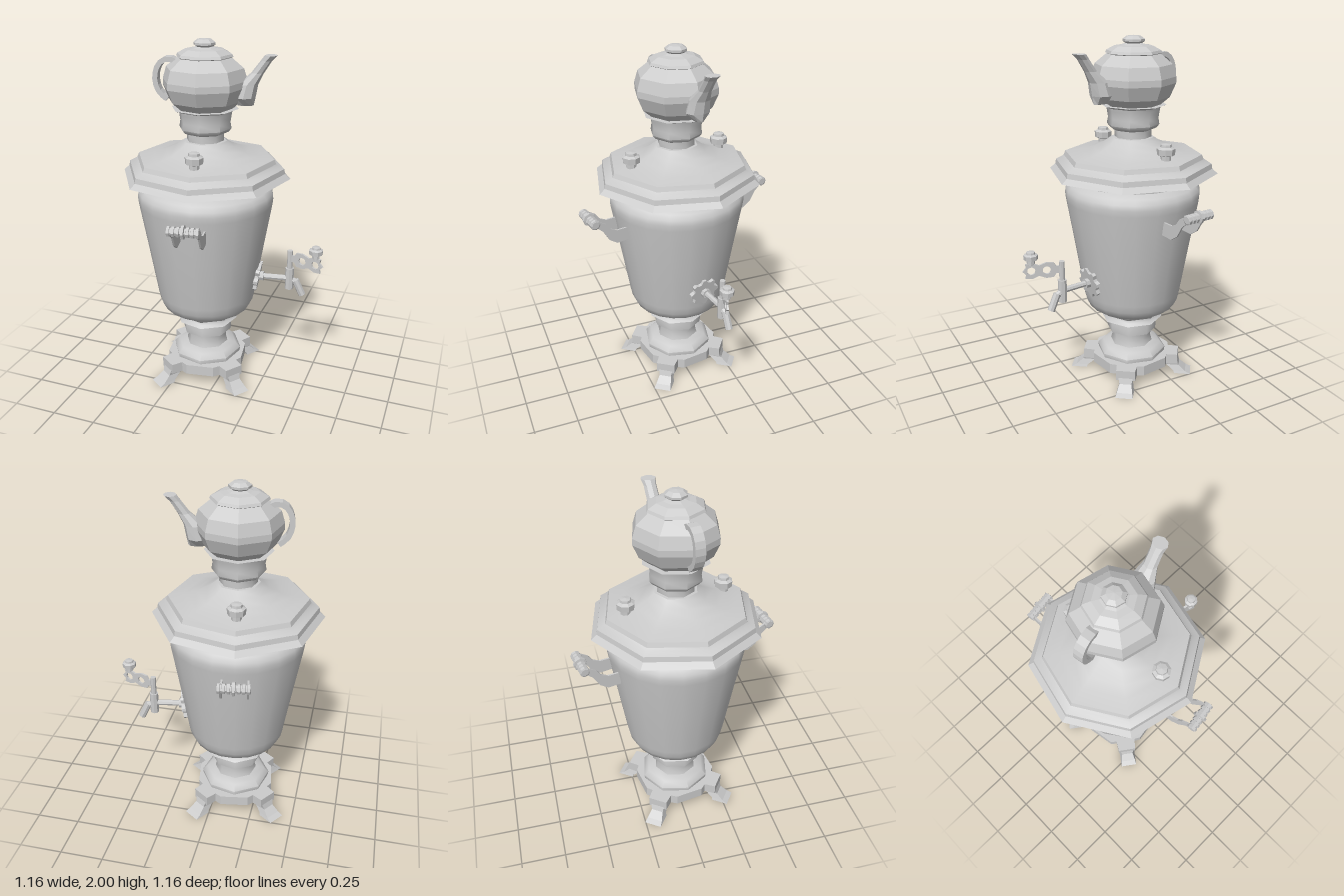
import * as THREE from 'three';
import { toCreasedNormals } from 'three/addons/utils/BufferGeometryUtils.js';

const smooth = new THREE.MeshStandardMaterial({ color: 0xcccccc, side: THREE.DoubleSide });
const flat = new THREE.MeshStandardMaterial({ color: 0xcccccc, flatShading: true, side: THREE.DoubleSide });

function add(parent, name, geometry, material = flat) {
  const mesh = new THREE.Mesh(geometry, material);
  mesh.name = name;
  parent.add(mesh);
  return mesh;
}

// Turned profile, [radius, height] from bottom to top
const turned = (profile, sides = 8) =>
  new THREE.LatheGeometry(profile.map(([r, y]) => new THREE.Vector2(r, y)), sides);

// Skin over a list of equal-length rings of Vector3, with both ends capped
function loft(rings) {
  const n = rings[0].length, last = (rings.length - 1) * n, index = [];
  for (let k = 0; k < rings.length - 1; k++) {
    for (let i = 0; i < n; i++) {
      const j = (i + 1) % n, a = k * n;
      index.push(a + i, a + j, a + n + i, a + j, a + n + j, a + n + i);
    }
  }
  for (let i = 1; i < n - 1; i++) index.push(0, i + 1, i, last, last + i, last + i + 1);
  const g = new THREE.BufferGeometry().setFromPoints(rings.flat());
  g.setIndex(index);
  const out = g.toNonIndexed();
  out.computeVertexNormals();
  return out;
}

// Horizontal oval section spanning x0..x1 with half width w
function oval(y, x0, x1, w, sides = 8) {
  return Array.from({ length: sides }, (_, i) => {
    const a = (i / sides) * Math.PI * 2;
    return new THREE.Vector3((x0 + x1) / 2 + Math.cos(a) * (x1 - x0) / 2, y, -Math.sin(a) * w);
  });
}

// Horizontal rectangular section
const slab = (y, x0, x1, w) =>
  [[x1, w], [x1, -w], [x0, -w], [x0, w]].map(([x, z]) => new THREE.Vector3(x, y, z));

const shapeOf = (points) => new THREE.Shape(points.map(([x, y]) => new THREE.Vector2(x, y)));
const extrude = (shape, depth) =>
  new THREE.ExtrudeGeometry(shape, { depth, bevelEnabled: false, curveSegments: 5 }).translate(0, 0, -depth / 2);

// Round bar between two points
function rod(parent, name, from, to, r, sides = 8) {
  const a = new THREE.Vector3(...from), b = new THREE.Vector3(...to), d = b.clone().sub(a);
  const mesh = add(parent, name, new THREE.CylinderGeometry(r, r, d.length(), sides));
  mesh.position.copy(a).add(b).multiplyScalar(0.5);
  mesh.quaternion.setFromUnitVectors(new THREE.Vector3(0, 1, 0), d.normalize());
  return mesh;
}

const knobProfile = [[0.028, -0.05], [0.028, -0.025], [0.048, -0.018], [0.05, 0.015], [0.032, 0.024], [0.03, 0.038], [0, 0.042]];

function buildBase(g) {
  // Plate with four lobes, one over each foot
  const outline = [];
  for (let i = 0; i < 4; i++) {
    const a = Math.PI / 4 + i * Math.PI / 2, c = Math.cos(a), s = Math.sin(a);
    for (const [r, t] of [[0.215, -0.1], [0.22, -0.06], [0.285, -0.055], [0.285, 0.055], [0.22, 0.06], [0.215, 0.1]])
      outline.push([c * r - s * t, s * r + c * t]);
  }
  add(g, 'basePlate', extrude(shapeOf(outline), 0.06).rotateX(-Math.PI / 2).translate(0, 0.1, 0));
  for (let i = 0; i < 4; i++) {
    const foot = add(g, 'foot', loft([
      slab(0, 0.27, 0.365, 0.05), slab(0.015, 0.265, 0.335, 0.045),
      slab(0.05, 0.22, 0.295, 0.035), slab(0.1, 0.17, 0.28, 0.045)]));
    foot.rotation.y = Math.PI / 4 + i * Math.PI / 2;
  }
  add(g, 'pedestal', toCreasedNormals(turned([
    [0.2, 0.125], [0.205, 0.155], [0.175, 0.185], [0.125, 0.195], [0.115, 0.23], [0.118, 0.275],
    [0.145, 0.28], [0.148, 0.345], [0.145, 0.355], [0.182, 0.36], [0.165, 0.375], [0.16, 0.39],
    [0.18, 0.4], [0.195, 0.425]]), 0.9), smooth);
}

function buildBody(g) {
  add(g, 'body', toCreasedNormals(turned([
    [0, 0.415], [0.17, 0.418], [0.22, 0.432], [0.255, 0.455], [0.275, 0.495], [0.285, 0.54], [0.335, 0.84],
    [0.38, 1.1], [0.384, 1.135], [0.38, 1.165], [0.36, 1.19], [0.32, 1.21], [0.322, 1.265], [0, 1.27]], 20), 0.75), smooth);
  add(g, 'lid', toCreasedNormals(turned([
    [0.3, 1.27], [0.38, 1.29], [0.476, 1.255], [0.445, 1.282], [0.44, 1.31], [0.41, 1.325], [0.395, 1.335],
    [0.385, 1.36], [0.3, 1.372], [0.23, 1.39], [0.165, 1.42], [0.12, 1.453], [0.1, 1.455]]), 0.5), smooth);
  add(g, 'chimney', toCreasedNormals(turned([
    [0.104, 1.445], [0.104, 1.495], [0.13, 1.505], [0.146, 1.525], [0.14, 1.56], [0.147, 1.605],
    [0.15, 1.62], [0.185, 1.633], [0, 1.634]]), 0.9), smooth);
  for (const side of [1, -1])
    add(g, 'lidKnob', turned(knobProfile)).position.set(0, 1.42, side * 0.28);
}

// Ribbed grip on two curved brackets, reaching out along +z
function buildSideHandle() {
  const h = new THREE.Group();
  h.name = 'sideHandle';
  const bracket = shapeOf([[0.35, 0.985], [0.42, 0.98], [0.465, 1.01], [0.5, 1.07], [0.55, 1.115],
    [0.53, 1.14], [0.48, 1.11], [0.455, 1.075], [0.42, 1.058], [0.35, 1.06]]);
  for (const x of [-0.07, 0.07])
    add(h, 'handleBracket', extrude(bracket, 0.01).rotateY(-Math.PI / 2).translate(x, 0, 0));
  const grip = [[0, -0.085], [0.02, -0.085]];
  for (let i = 0; i < 7; i++) {
    const y = -0.075 + i * 0.025, r = i === 3 ? 0.037 : 0.028;
    grip.push([0.022, y - 0.009], [r, y - 0.007], [r, y + 0.007], [0.022, y + 0.009]);
  }
  grip.push([0.02, 0.085], [0, 0.085]);
  add(h, 'handleGrip', turned(grip).rotateZ(Math.PI / 2).translate(0, 1.125, 0.545));
  return h;
}

function buildTap(g) {
  const tap = new THREE.Group();
  tap.name = 'tap';
  // Scalloped plate lying against the body wall
  const edge = [];
  for (let i = 0; i < 32; i++) {
    const a = (i / 32) * Math.PI * 2, r = i % 4 < 2 ? 0.088 : 0.07;
    edge.push([Math.cos(a) * r, Math.sin(a) * r]);
  }
  const plate = add(tap, 'tapPlate', extrude(shapeOf(edge), 0.025).rotateY(Math.PI / 2));
  plate.position.set(0.303, 0.65, 0);
  plate.rotation.z = -0.168;
  rod(tap, 'tapCollar', [0.3, 0.65, 0], [0.34, 0.65, 0], 0.028);
  rod(tap, 'tapPipe', [0.3, 0.65, 0], [0.49, 0.65, 0], 0.017);
  rod(tap, 'tapBarrel', [0.49, 0.585, 0], [0.49, 0.715, 0], 0.025);
  rod(tap, 'tapStem', [0.49, 0.71, 0], [0.49, 0.825, 0], 0.016);
  rod(tap, 'tapSpoutNeck', [0.49, 0.65, 0], [0.535, 0.625, 0], 0.018);
  rod(tap, 'tapSpout', [0.525, 0.64, 0], [0.567, 0.55, 0], 0.021);

  // Pierced key with a knob, turned aside from the spout
  const key = new THREE.Group();
  key.name = 'tapKey';
  const blade = shapeOf([[0, 0.76], [0.03, 0.76], [0.045, 0.738], [0.085, 0.735], [0.125, 0.75], [0.16, 0.735], [0.2, 0.738],
    [0.195, 0.76], [0.215, 0.78], [0.195, 0.8], [0.2, 0.822], [0.16, 0.825], [0.125, 0.81], [0.085, 0.825], [0.045, 0.822], [0.03, 0.8], [0, 0.8]]);
  for (const x of [0.083, 0.167])
    blade.holes.push(new THREE.Path().absarc(x, 0.78, 0.023, 0, Math.PI * 2, true));
  add(key, 'keyBlade', extrude(blade, 0.012));
  rod(key, 'keyStem', [0.167, 0.815, 0], [0.167, 0.85, 0], 0.016);
  add(key, 'keyKnob', turned(knobProfile).scale(0.8, 0.75, 0.8).translate(0.167, 0.862, 0));
  key.position.x = 0.49;
  key.rotation.y = -0.46;
  tap.add(key);
  g.add(tap);
}

function buildTeapot(g) {
  const pot = new THREE.Group();
  pot.name = 'teapot';
  add(pot, 'teapotBody', turned([
    [0, 1.63], [0.15, 1.632], [0.2, 1.675], [0.232, 1.75], [0.232, 1.785], [0.212, 1.85], [0.145, 1.905], [0, 1.905]]));
  add(pot, 'teapotLid', turned([
    [0.13, 1.895], [0.155, 1.908], [0.148, 1.922], [0.105, 1.945], [0.07, 1.95], [0.045, 1.958],
    [0.06, 1.968], [0.06, 1.98], [0.038, 1.996], [0, 2]]));
  add(pot, 'teapotSpout', loft([
    oval(1.655, 0.17, 0.265, 0.025), oval(1.7, 0.16, 0.275, 0.068), oval(1.77, 0.18, 0.288, 0.058),
    oval(1.83, 0.25, 0.318, 0.036), oval(1.895, 0.3, 0.36, 0.035), oval(1.922, 0.32, 0.388, 0.042)]));
  // Flat strap handle bent along a curve
  const curve = new THREE.CatmullRomCurve3([[-0.15, 1.875], [-0.195, 1.892], [-0.245, 1.865], [-0.27, 1.79], [-0.25, 1.715], [-0.205, 1.675]]
    .map(([x, y]) => new THREE.Vector3(x, y, 0)));
  const z = new THREE.Vector3(0, 0, 1), rings = [];
  for (let i = 0; i <= 10; i++) {
    const p = curve.getPointAt(i / 10), u = z.clone().cross(curve.getTangentAt(i / 10));
    rings.push([[1, 1], [-1, 1], [-1, -1], [1, -1]].map(([a, b]) =>
      p.clone().addScaledVector(u, a * 0.014).addScaledVector(z, b * 0.027)));
  }
  add(pot, 'teapotHandle', loft(rings));
  g.add(pot);
}

export function createModel() {
  const samovar = new THREE.Group();
  samovar.name = 'samovar';
  buildBase(samovar);
  buildBody(samovar);
  for (const turn of [0, Math.PI]) {
    const handle = buildSideHandle();
    handle.rotation.y = turn;
    samovar.add(handle);
  }
  buildTap(samovar);
  buildTeapot(samovar);
  samovar.position.x = -0.115;
  samovar.rotation.y = 0.164;

  const model = new THREE.Group();
  model.name = 'model';
  model.add(samovar);
  return model;
}
